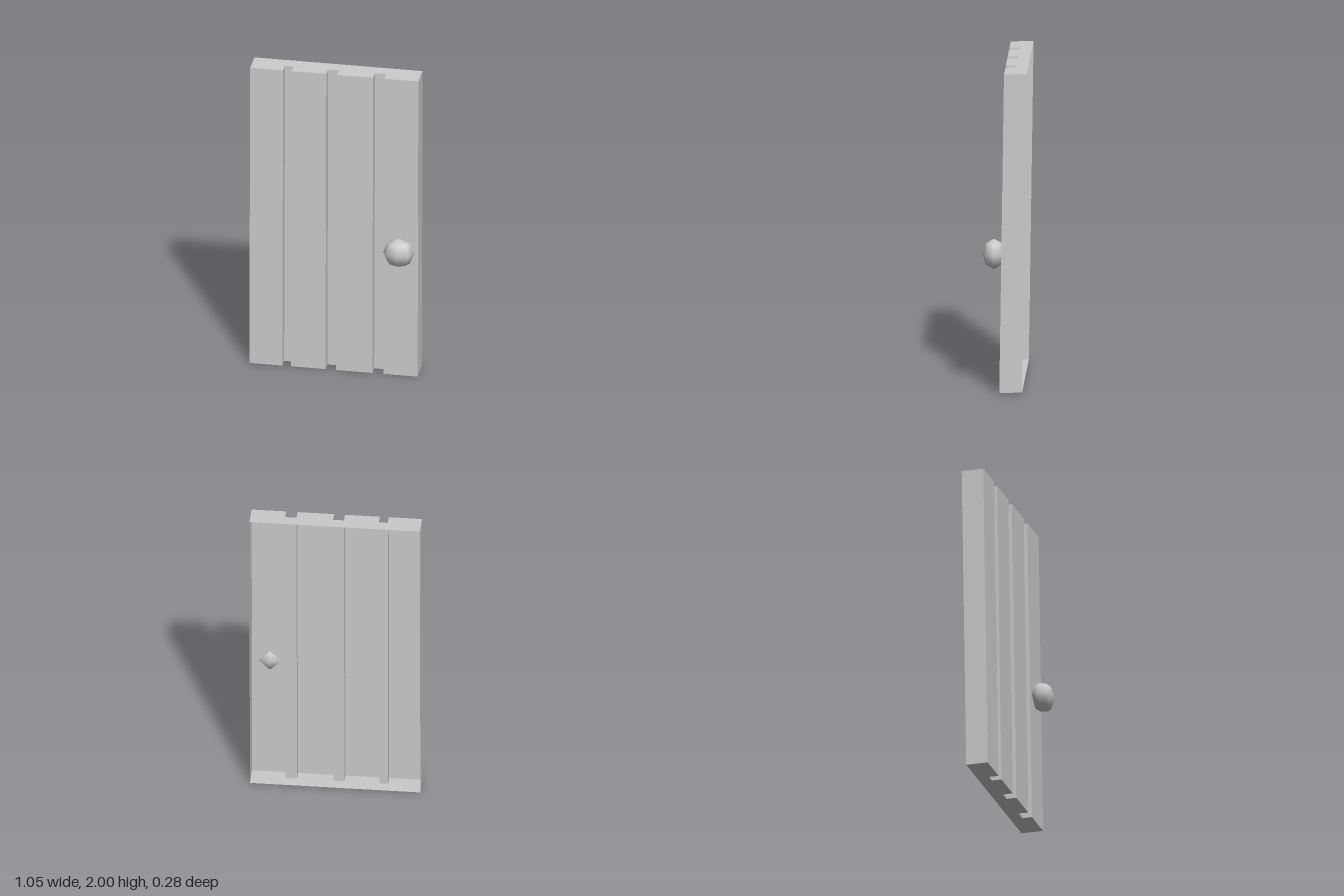
import * as THREE from 'three';

const HEIGHT = 1.995, HALF_WIDTH = 0.526, DEPTH = 0.14, GROOVE_DEPTH = 0.063;
const GROOVES = [[-0.32, -0.265], [-0.05, 0.017], [0.243, 0.313]];

// The door leans back slightly; x and height stay straight, d is the depth behind the front face
function lean(x, y, d) {
  return [x, y + 0.036 * d, 0.03 - 0.0145 * y - d];
}

// Cross-section of the thin shell, from one rear edge round the grooved front to the other
function crossSection() {
  const points = [[-HALF_WIDTH, DEPTH], [-HALF_WIDTH, 0]];
  for (const [a, b] of GROOVES) {
    points.push([a, 0], [a, GROOVE_DEPTH], [b, GROOVE_DEPTH], [b, 0]);
  }
  points.push([HALF_WIDTH, 0], [HALF_WIDTH, DEPTH]);
  return points;
}

export function createModel() {
  const model = new THREE.Group();
  model.name = 'door';
  const sheet = new THREE.MeshStandardMaterial({ color: 0xcccccc, flatShading: true, side: THREE.DoubleSide });
  const smooth = new THREE.MeshStandardMaterial({ color: 0xcccccc });
  const add = (name, geometry, material) => {
    const mesh = new THREE.Mesh(geometry, material);
    mesh.name = name;
    model.add(mesh);
    return mesh;
  };
  const profile = crossSection();

  // Grooved front and side walls, one quad per profile segment, open at the back
  const positions = [];
  for (let i = 0; i < profile.length - 1; i++) {
    const [x0, d0] = profile[i], [x1, d1] = profile[i + 1];
    const a = lean(x0, 0, d0), b = lean(x1, 0, d1);
    const c = lean(x1, HEIGHT, d1), d = lean(x0, HEIGHT, d0);
    positions.push(...a, ...b, ...c, ...a, ...c, ...d);
  }
  const panel = new THREE.BufferGeometry();
  panel.setAttribute('position', new THREE.Float32BufferAttribute(positions, 3));
  panel.computeVertexNormals();
  add('groovedPanel', panel, sheet);

  // Top and bottom edges share the grooved outline
  const outline = new THREE.Shape(profile.map(([x, d]) => new THREE.Vector2(x, -d)));
  for (const [name, y] of [['topEdge', HEIGHT], ['bottomEdge', 0]]) {
    const cap = new THREE.ShapeGeometry(outline);
    const p = cap.attributes.position;
    for (let i = 0; i < p.count; i++) p.setXYZ(i, ...lean(p.getX(i), y, -p.getY(i)));
    cap.computeVertexNormals();
    add(name, cap, sheet);
  }

  // Faceted, flattened knob that pokes through the thin panel
  const knob = add('knob', new THREE.SphereGeometry(1, 8, 4), smooth);
  knob.scale.set(0.097, 0.095, 0.071);
  knob.position.set(0.415, 0.85, 0.067);

  return model;
}
